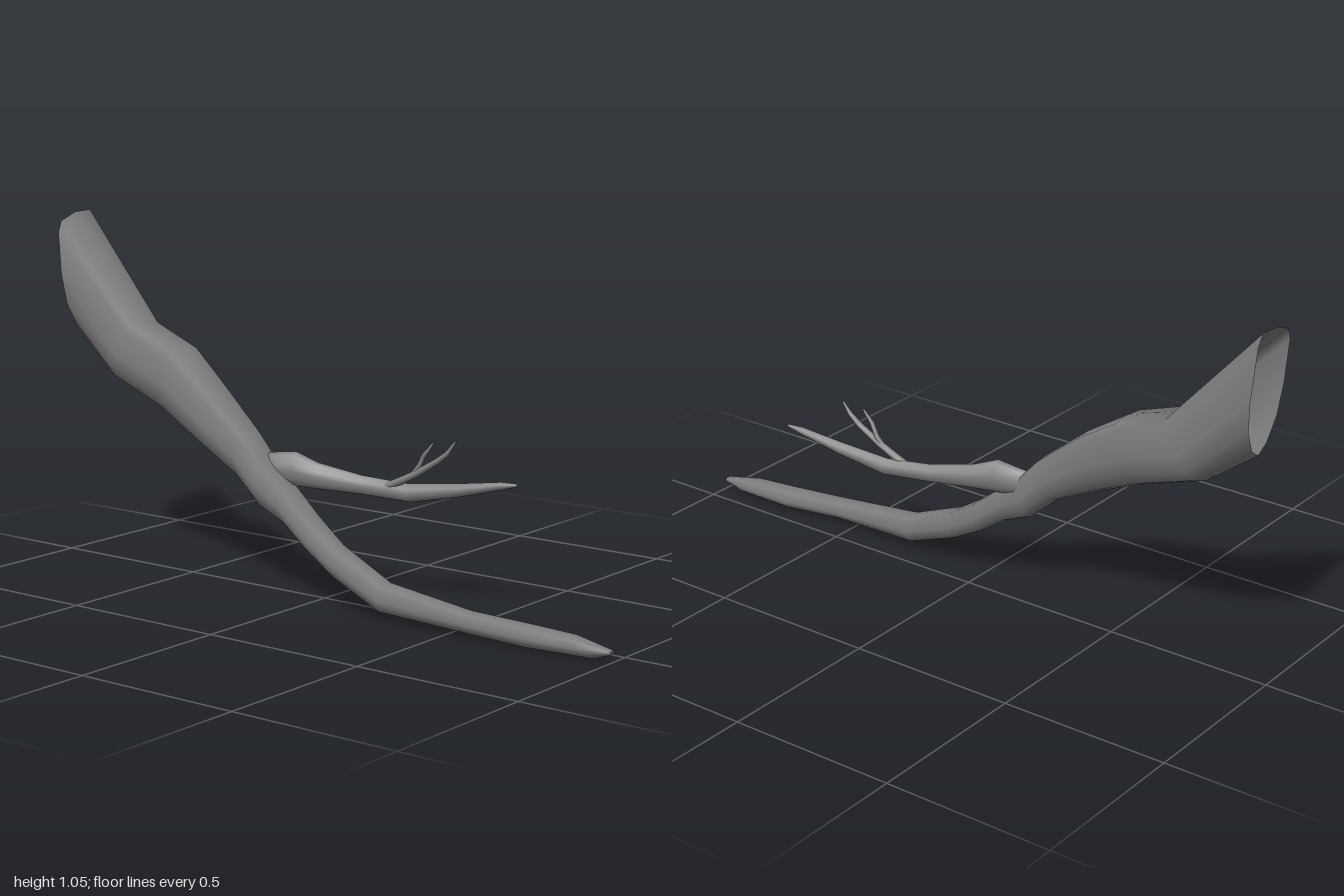
import * as THREE from 'three';

const SIDES = 12;
const material = new THREE.MeshStandardMaterial({ color: 0x808080, side: THREE.DoubleSide });

// Signed power, used to square off or sharpen a round section
const bend = (value, power) => Math.sign(value) * Math.abs(value) ** power;

// Skin a row of cross-sections running from back to front.
// Each is [topZ, topY, bottomZ, bottomY, minX, maxX, tilt].
// crown below 1 flattens the upper half, above 1 makes it a ridge.
function loft(name, rings, crown = 1) {
  const positions = [], index = [];
  for (const [tz, ty, bz, by, x0, x1, tilt = 0] of rings) {
    for (let j = 0; j < SIDES; j++) {
      const a = (j / SIDES) * Math.PI * 2;
      const upper = j <= SIDES / 2;
      const u = bend(Math.cos(a), upper ? crown : 1.2);
      const v = bend(Math.sin(a), upper ? crown : 1);
      positions.push(
        (x0 + x1) / 2 + (u * (x1 - x0)) / 2,
        (ty + by) / 2 + (v * (ty - by)) / 2 + tilt * u * Math.max(v, 0),
        (tz + bz) / 2 + (v * (tz - bz)) / 2
      );
    }
  }
  for (let i = 0; i < rings.length - 1; i++) {
    for (let j = 0; j < SIDES; j++) {
      const k = (j + 1) % SIDES;
      const a = i * SIDES + j, b = i * SIDES + k;
      index.push(a, b, a + SIDES, b, b + SIDES, a + SIDES);
    }
  }
  // Close the front tip
  const last = (rings.length - 1) * SIDES;
  for (let j = 1; j < SIDES - 1; j++) index.push(last, last + j, last + j + 1);

  const geometry = new THREE.BufferGeometry();
  geometry.setAttribute('position', new THREE.Float32BufferAttribute(positions, 3));
  geometry.setIndex(index);
  geometry.computeVertexNormals();
  const mesh = new THREE.Mesh(geometry, material);
  mesh.name = name;
  return mesh;
}

// Round section for a thin shoot that rises forward at a slant
const round = ([x, y, z, r]) => [z - 0.7 * r, y + 0.7 * r, z + 0.7 * r, y - 0.7 * r, x - r, x + r];

export function createModel() {
  const group = new THREE.Group();
  group.name = 'branch';

  // Main limb: wide open cut at the back, tapering to the front tip
  group.add(loft('mainLimb', [
    [-1, 1.043, -0.965, 0.68, -0.042, 0.125, 0.018],
    [-0.7, 0.73, -0.8, 0.555, -0.06, 0.1],
    [-0.535, 0.67, -0.6, 0.485, -0.075, 0.086],
    [-0.39, 0.575, -0.44, 0.41, -0.093, 0.045],
    [-0.24, 0.455, -0.28, 0.33, -0.096, 0.018],
    [-0.19, 0.4, -0.19, 0.25, -0.096, 0.015],
    [-0.1, 0.325, -0.1, 0.212, -0.093, 0.0],
    [0, 0.245, 0, 0.143, -0.104, -0.012],
    [0.1, 0.18, 0.1, 0.088, -0.112, -0.03],
    [0.28, 0.103, 0.27, 0.02, -0.126, -0.05],
    [0.56, 0.07, 0.56, 0.012, -0.127, -0.06],
    [0.75, 0.06, 0.75, 0.0, -0.112, -0.043],
    [0.88, 0.055, 0.95, 0.004, -0.1, -0.045],
    [1, 0.034, 1, 0.022, -0.082, -0.058],
  ], 0.4));

  // Side branch forking off above the limb, ridged along its top
  group.add(loft('sideBranch', [
    [-0.25, 0.36, -0.22, 0.32, -0.035, -0.005],
    [-0.19, 0.405, -0.16, 0.32, -0.041, 0.014],
    [-0.1, 0.417, -0.1, 0.315, -0.037, 0.023],
    [-0.03, 0.39, -0.02, 0.313, -0.016, 0.036],
    [0.1, 0.365, 0.1, 0.309, 0.022, 0.063],
    [0.24, 0.355, 0.25, 0.302, 0.048, 0.09],
    [0.4, 0.372, 0.4, 0.333, 0.072, 0.107],
    [0.53, 0.39, 0.53, 0.367, 0.096, 0.118],
    [0.578, 0.39, 0.578, 0.381, 0.108, 0.118],
  ], 1.3));

  // Forked twig on the side branch
  group.add(loft('longTwig', [
    [0.052, 0.338, 0.17, 0.012],
    [0.056, 0.36, 0.22, 0.012],
    [0.06, 0.388, 0.275, 0.011],
    [0.066, 0.432, 0.345, 0.009],
    [0.067, 0.458, 0.378, 0.007],
    [0.071, 0.493, 0.402, 0.003],
  ].map(round)));
  group.add(loft('shortTwig', [
    [0.058, 0.38, 0.262, 0.008],
    [0.062, 0.41, 0.285, 0.008],
    [0.058, 0.444, 0.304, 0.007],
    [0.061, 0.482, 0.334, 0.003],
  ].map(round)));

  return group;
}
